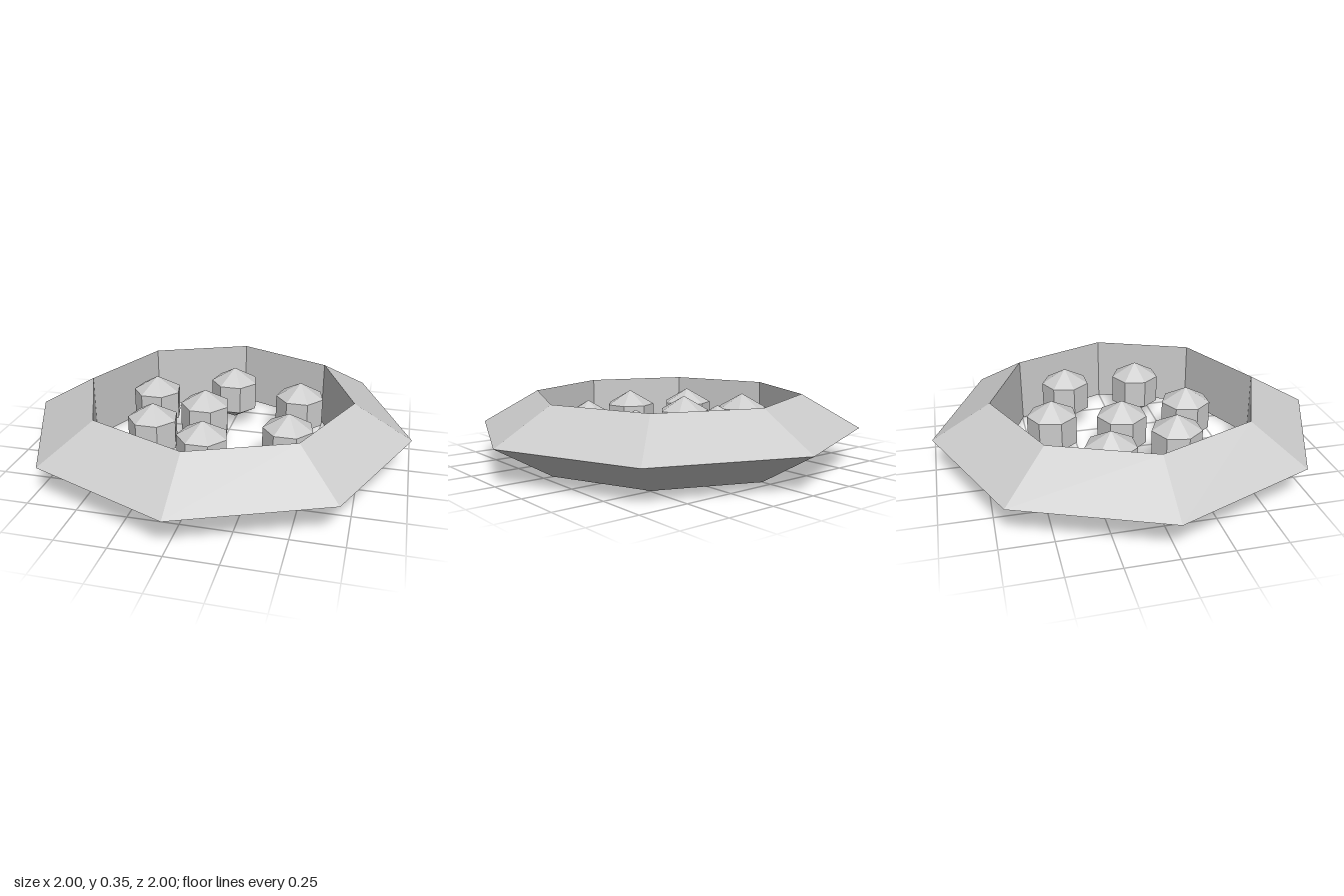
import * as THREE from 'three';

export function createModel() {
  const model = new THREE.Group();
  const material = new THREE.MeshStandardMaterial({ color: 0xcccccc, flatShading: true });
  const midHeight = 0.2 * Math.sin(Math.PI * 2 / 3);

  // Eight-sided bowl rim with a triangular section, sharp edge outward
  const ringGeometry = new THREE.TorusGeometry(0.8, 0.2, 3, 8).rotateX(-Math.PI / 2);
  const ring = new THREE.Mesh(ringGeometry, material);
  ring.name = 'bowlRing';
  ring.position.y = midHeight;
  model.add(ring);

  // Seven-sided pellets: upright walls with a shallow cone at each end
  const pelletGeometry = new THREE.SphereGeometry(0.15, 7, 3).rotateY(-Math.PI / 2);
  const pellets = new THREE.Group();
  pellets.name = 'pellets';
  const spots = [
    [0, -0.39], [0.395, -0.255], [-0.39, -0.165], [-0.083, -0.04],
    [0.395, 0.15], [-0.3, 0.19], [0, 0.33],
  ];
  spots.forEach(([x, z], i) => {
    const pellet = new THREE.Mesh(pelletGeometry, material);
    pellet.name = `pellet${i + 1}`;
    pellet.position.set(x, midHeight, z);
    pellets.add(pellet);
  });
  model.add(pellets);

  return model;
}
